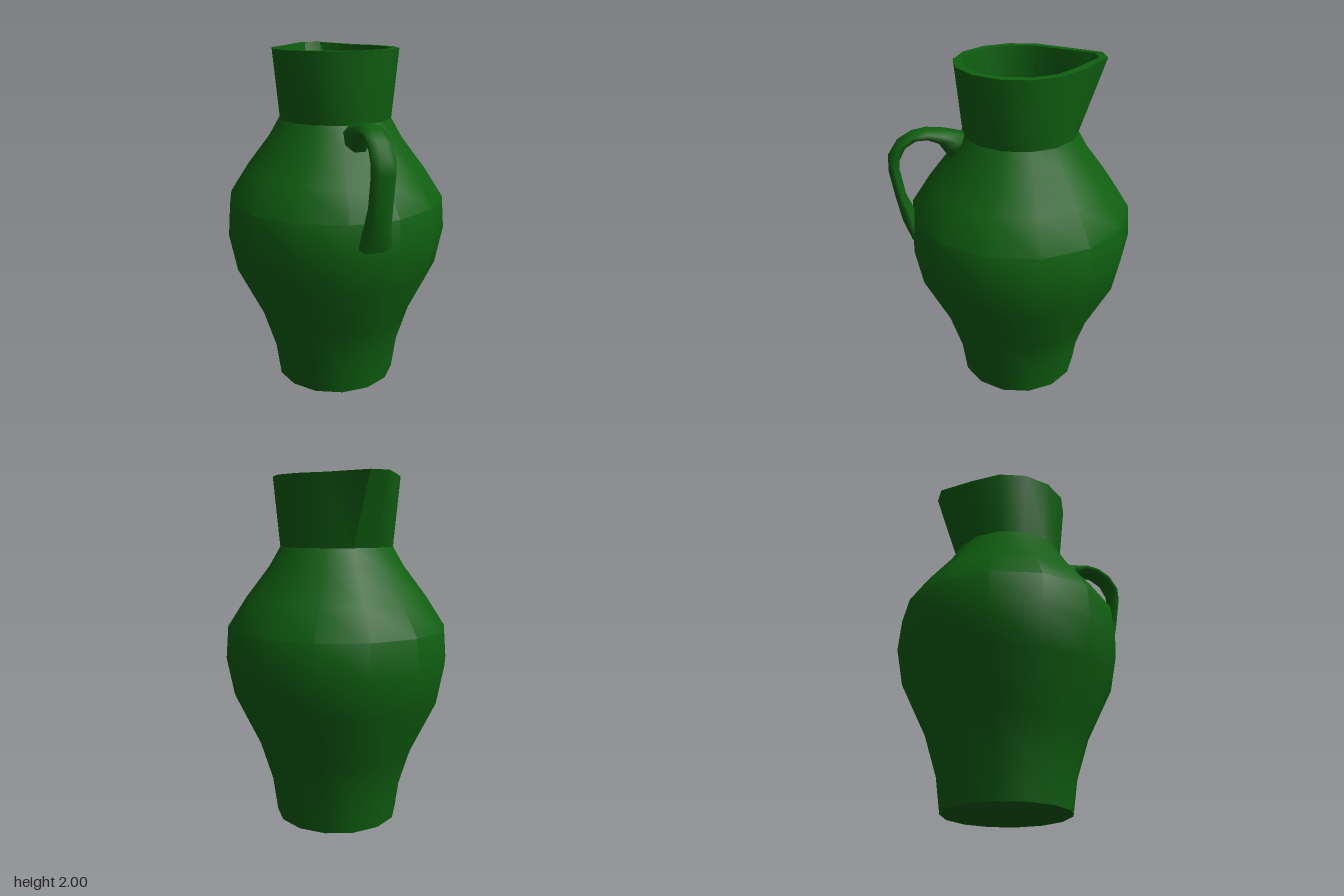
import * as THREE from 'three';
import { toCreasedNormals } from 'three/addons/utils/BufferGeometryUtils.js';

const SIDES = 14, AXIS_Z = -0.05, NECK_Y = 1.6, RIM_Y = 1.99;

// Hollow 14-sided body: outer wall, flat rim, inner wall and floor in one profile
function jugGeometry() {
  const profile = [
    [0, 0], [0.36, 0], [0.388, 0.2], [0.46, 0.43], [0.607, 0.73], [0.65, 0.95],
    [0.635, 1.14], [0.525, 1.31], [0.388, 1.49], [0.325, NECK_Y], [0.362, RIM_Y],
    [0.312, RIM_Y], [0.278, NECK_Y], [0.34, 1.47], [0.58, 1.12], [0.595, 0.95],
    [0.55, 0.75], [0.41, 0.45], [0.33, 0.2], [0.31, 0.06], [0, 0.06],
  ].map(([r, y]) => new THREE.Vector2(r, y));
  const geo = new THREE.LatheGeometry(profile, SIDES, Math.PI / SIDES);

  // Pull the back of the neck out into a spout, strongest at the rim
  const p = geo.attributes.position;
  for (let i = 0; i < p.count; i++) {
    const x = p.getX(i), y = p.getY(i), z = p.getZ(i);
    const t = Math.max(0, (y - NECK_Y) / (RIM_Y - NECK_Y));
    const s = t * Math.pow(Math.max(0, -z / (Math.hypot(x, z) || 1)), 9);
    p.setXYZ(i, x * (1 - 0.38 * s), y + 0.0125 * s, z - 0.137 * s + AXIS_Z);
  }
  return toCreasedNormals(geo, 0.575);
}

// Handle: octagonal sections swept between an outer and an inner edge line
function handleGeometry() {
  // outer z, outer y, inner z, inner y, half width
  const stations = [
    [0.24, 1.61, 0.33, 1.45, 0.08], [0.28, 1.607, 0.37, 1.5, 0.066],
    [0.37, 1.63, 0.405, 1.555, 0.062], [0.47, 1.64, 0.465, 1.58, 0.062],
    [0.55, 1.625, 0.53, 1.578, 0.062], [0.63, 1.578, 0.59, 1.54, 0.062],
    [0.687, 1.49, 0.625, 1.475, 0.064], [0.69, 1.41, 0.632, 1.4, 0.064],
    [0.665, 1.25, 0.605, 1.24, 0.064], [0.635, 1.1, 0.557, 1.12, 0.072],
    [0.59, 0.98, 0.53, 1.0, 0.1],
  ];
  const N = 8, pos = [], index = [];
  stations.forEach(([oz, oy, iz, iy, w], k) => {
    for (let j = 0; j < N; j++) {
      const a = ((j + 0.5) / N) * Math.PI * 2, f = 1 / Math.cos(Math.PI / N);
      const v = (Math.sin(a) * f) / 2;
      pos.push(Math.cos(a) * f * w, (oy + iy) / 2 + v * (oy - iy), (oz + iz) / 2 + v * (oz - iz));
      if (k === 0) continue;
      const n = (j + 1) % N, a0 = (k - 1) * N + j, b0 = (k - 1) * N + n;
      index.push(a0, a0 + N, b0, b0, a0 + N, b0 + N);
    }
  });
  const geo = new THREE.BufferGeometry();
  geo.setAttribute('position', new THREE.Float32BufferAttribute(pos, 3));
  geo.setIndex(index);
  geo.computeVertexNormals();
  return geo;
}

export function createModel() {
  const glaze = new THREE.MeshStandardMaterial({ color: 0x0f5f10, side: THREE.DoubleSide });
  const group = new THREE.Group();
  group.name = 'jug';
  const add = (name, geo) => {
    const mesh = new THREE.Mesh(geo, glaze);
    mesh.name = name;
    group.add(mesh);
  };
  add('body', jugGeometry());
  add('handle', handleGeometry());
  return group;
}
